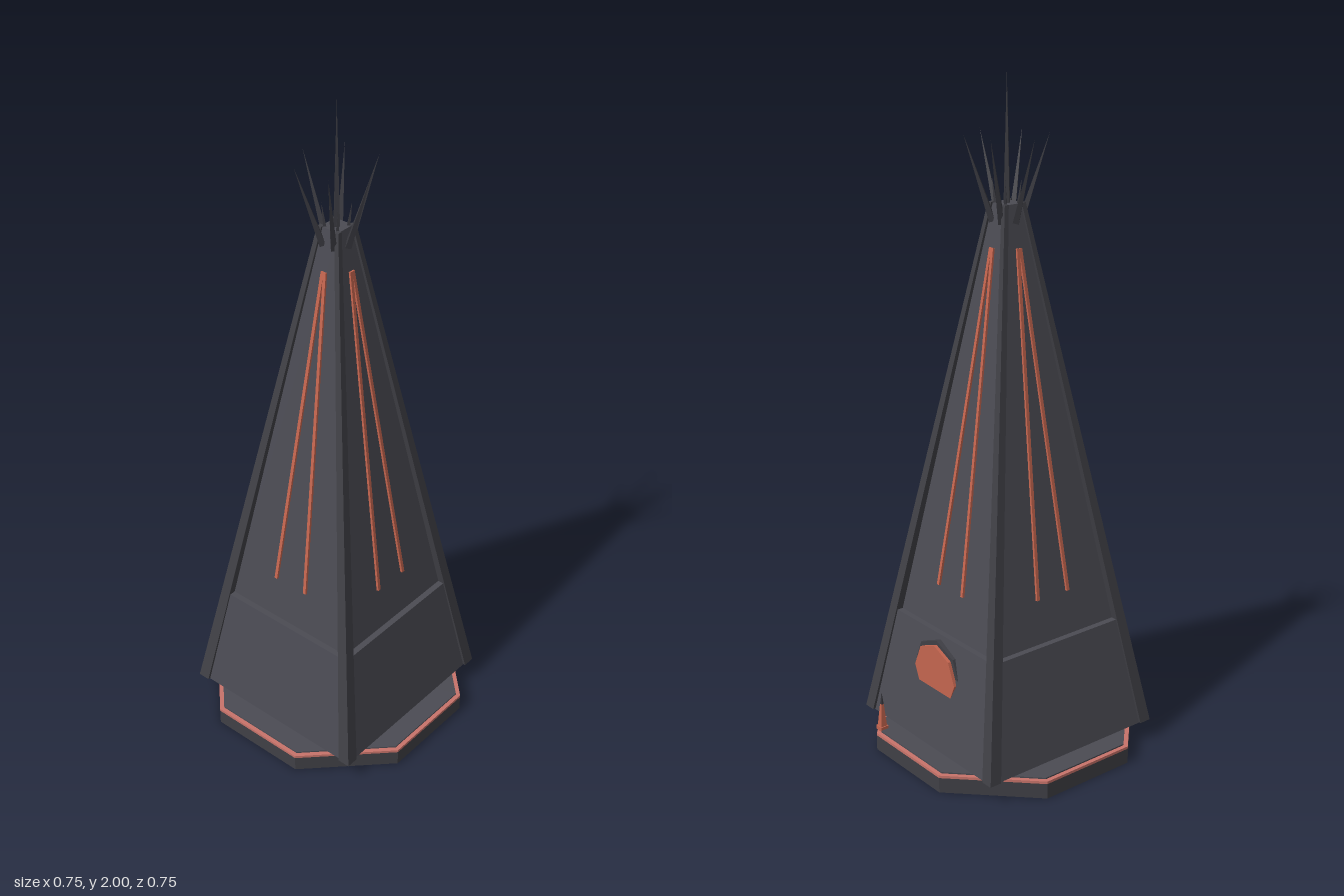
import * as THREE from 'three';

const mat = (name, color) => {
  const m = new THREE.MeshStandardMaterial({ color, flatShading: true });
  m.name = name;
  return m;
};

export function createModel() {
  const stone = mat('slate grey', 0x4b4b53);
  const dark = mat('dark grey', 0x404046);
  const spikeGrey = mat('spike grey', 0x39393f);
  const red = mat('ember red', 0xc4654f);
  const trimRed = mat('trim red', 0xc8736a);

  const model = new THREE.Group();
  model.name = 'spire';
  const add = (name, geometry, material, parent = model) => {
    const mesh = new THREE.Mesh(geometry, material);
    mesh.name = name;
    parent.add(mesh);
    return mesh;
  };

  // Upright square frustum with given half widths and height range
  const frustum = (bottom, top, y0, y1) =>
    new THREE.CylinderGeometry(top * Math.SQRT2, bottom * Math.SQRT2, y1 - y0, 4)
      .rotateY(Math.PI / 4).translate(0, (y0 + y1) / 2, 0);

  // Octagonal slab with given apothem
  const slab = (apothem, y0, y1) => {
    const r = apothem / Math.cos(Math.PI / 8);
    return new THREE.CylinderGeometry(r, r, y1 - y0, 8)
      .rotateY(Math.PI / 8).translate(0, (y0 + y1) / 2, 0);
  };

  // Four-sided spike from a to b
  const up = new THREE.Vector3(0, 1, 0);
  const spike = (name, a, b, r, parent) => {
    const dir = b.clone().sub(a);
    const h = dir.length();
    const mesh = add(name, new THREE.ConeGeometry(r, h, 4).translate(0, h / 2, 0), spikeGrey, parent);
    mesh.position.copy(a);
    mesh.quaternion.setFromUnitVectors(up, dir.normalize());
  };

  // Plinth
  add('plinth', slab(0.375, 0, 0.047), dark);
  add('plinthTrim', slab(0.375, 0.047, 0.055), trimRed);
  add('plinthTop', slab(0.362, 0.05, 0.059), stone);

  // Tower body: lower skirt with a ledge, upper spire
  add('skirt', frustum(0.3, 0.245, 0.06, 0.4), stone);
  add('tower', frustum(0.228, 0.031, 0.39, 1.64), stone);

  // Each side: a leaning corner post and two glowing strips
  const faceZ = (y) => 0.228 - (y - 0.4) * 0.1589;
  const normal = new THREE.Vector3(0, 0.1589, 1).normalize();
  for (let i = 0; i < 4; i++) {
    const side = new THREE.Group();
    side.name = 'side';
    side.rotation.y = i * Math.PI / 2;
    model.add(side);

    const k = (0.03 - 0.289) / 1.58;
    const lean = new THREE.Matrix4().set(
      1, k, 0, 0.289,
      0, 1, 0, 0.062,
      0, k, 1, 0.289,
      0, 0, 0, 1);
    add('cornerPost', frustum(0.019, 0.007, 0, 1.58).applyMatrix4(lean), dark, side);

    for (const s of [-1, 1]) {
      const a = new THREE.Vector3(s * 0.056, 0.53, faceZ(0.53));
      const b = new THREE.Vector3(s * 0.004, 1.52, faceZ(1.52));
      const dir = b.clone().sub(a);
      const strip = add('glowStrip', new THREE.BoxGeometry(0.01, dir.length(), 0.012), red, side);
      dir.normalize();
      const across = new THREE.Vector3().crossVectors(dir, normal).normalize();
      strip.quaternion.setFromRotationMatrix(
        new THREE.Matrix4().makeBasis(across, dir, new THREE.Vector3().crossVectors(across, dir)));
      strip.position.copy(a).add(b).multiplyScalar(0.5);
    }
    // Short spike on the corner of the cap
    spike('cornerSpike', new THREE.Vector3(0.019, 1.6, 0.019),
      new THREE.Vector3(0.029, 1.71, 0.029), 0.009, side);
  }

  // Crown: a central needle ringed by six flared spikes
  spike('needle', new THREE.Vector3(0, 1.6, 0), new THREE.Vector3(0, 2, 0), 0.013);
  for (let i = 0; i < 6; i++) {
    const a = i * Math.PI / 3, c = Math.cos(a), s = Math.sin(a);
    spike('crownSpike', new THREE.Vector3(0.04 * c, 1.59, 0.04 * s),
      new THREE.Vector3(0.119 * c, 1.83, 0.119 * s), 0.012);
  }

  // Octagonal window set into the back slope
  const disc = (r, z0, z1) => new THREE.CylinderGeometry(r, r, z1 - z0, 8)
    .rotateX(Math.PI / 2).translate(0, 0.278, (z0 + z1) / 2);
  add('windowFrame', disc(0.108, -0.262, -0.22), dark);
  add('windowPane', disc(0.095, -0.272, -0.262), red);

  // Small obelisk on the plinth
  const obelisk = new THREE.Group();
  obelisk.name = 'obelisk';
  obelisk.position.set(0.164, 0, -0.348);
  model.add(obelisk);
  add('obeliskFoot', frustum(0.013, 0.013, 0.055, 0.068), red, obelisk);
  add('obeliskShaft', frustum(0.01, 0.004, 0.068, 0.14), red, obelisk);
  add('obeliskTip', frustum(0.004, 0.0005, 0.14, 0.175), spikeGrey, obelisk);

  return model;
}
